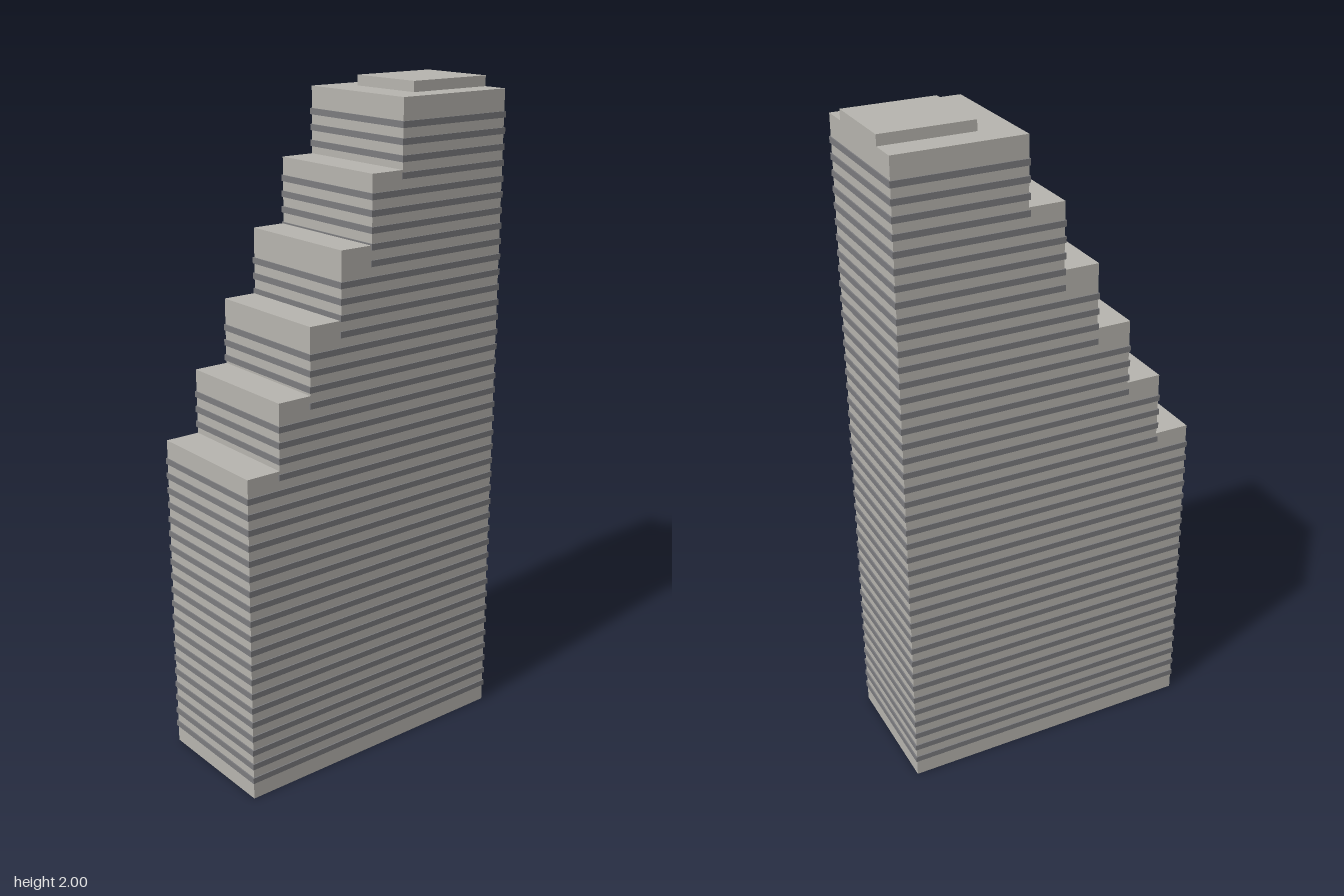
import * as THREE from 'three';

export function createModel() {
  const group = new THREE.Group();
  const concrete = new THREE.MeshStandardMaterial({ color: 0xb7b5af });
  concrete.name = 'pale concrete';
  const glazing = new THREE.MeshStandardMaterial({ color: 0x7c7c7f });
  glazing.name = 'grey window band';

  const right = 0.459, halfDepth = 0.203, ledge = 0.0035;
  // Stepped tiers: left edge and roof height of each
  const tiers = [];
  for (let i = 0; i < 6; i++) tiers.push({ left: -0.459 + i * 0.1073, top: 0.997 + i * 0.1945 });

  // Tower body: stair-stepped silhouette extruded through the depth
  const outline = new THREE.Shape();
  outline.moveTo(right, 0);
  outline.lineTo(right, tiers[5].top);
  for (let i = 5; i >= 0; i--) {
    outline.lineTo(tiers[i].left, tiers[i].top);
    outline.lineTo(tiers[i].left, i > 0 ? tiers[i - 1].top : 0);
  }
  const bodyGeometry = new THREE.ExtrudeGeometry(outline, { depth: 2 * halfDepth, bevelEnabled: false });
  bodyGeometry.translate(0, 0, -halfDepth);
  const body = new THREE.Mesh(bodyGeometry, concrete);
  body.name = 'towerBody';
  group.add(body);

  const addBox = (name, material, x0, x1, y0, y1, halfZ, parent) => {
    const mesh = new THREE.Mesh(new THREE.BoxGeometry(x1 - x0, y1 - y0, 2 * halfZ), material);
    mesh.position.set((x0 + x1) / 2, (y0 + y1) / 2, 0);
    mesh.name = name;
    parent.add(mesh);
  };

  // Window bands: one slightly proud ring per floor, leaving a plain parapet on each tier
  const bands = new THREE.Group();
  bands.name = 'windowBands';
  group.add(bands);
  for (let floor = 0; floor < 41; floor++) {
    const y = 0.061 + floor * 0.0459;
    const tier = tiers.find((t) => y + 0.055 < t.top);
    addBox('windowBand', glazing, tier.left - ledge, right + ledge, y - 0.009, y + 0.009, halfDepth + ledge, bands);
  }

  // Low rooftop plant room, flush with the tall side
  addBox('roofHouse', concrete, 0.184, right, tiers[5].top, 2, 0.123, group);

  return group;
}
